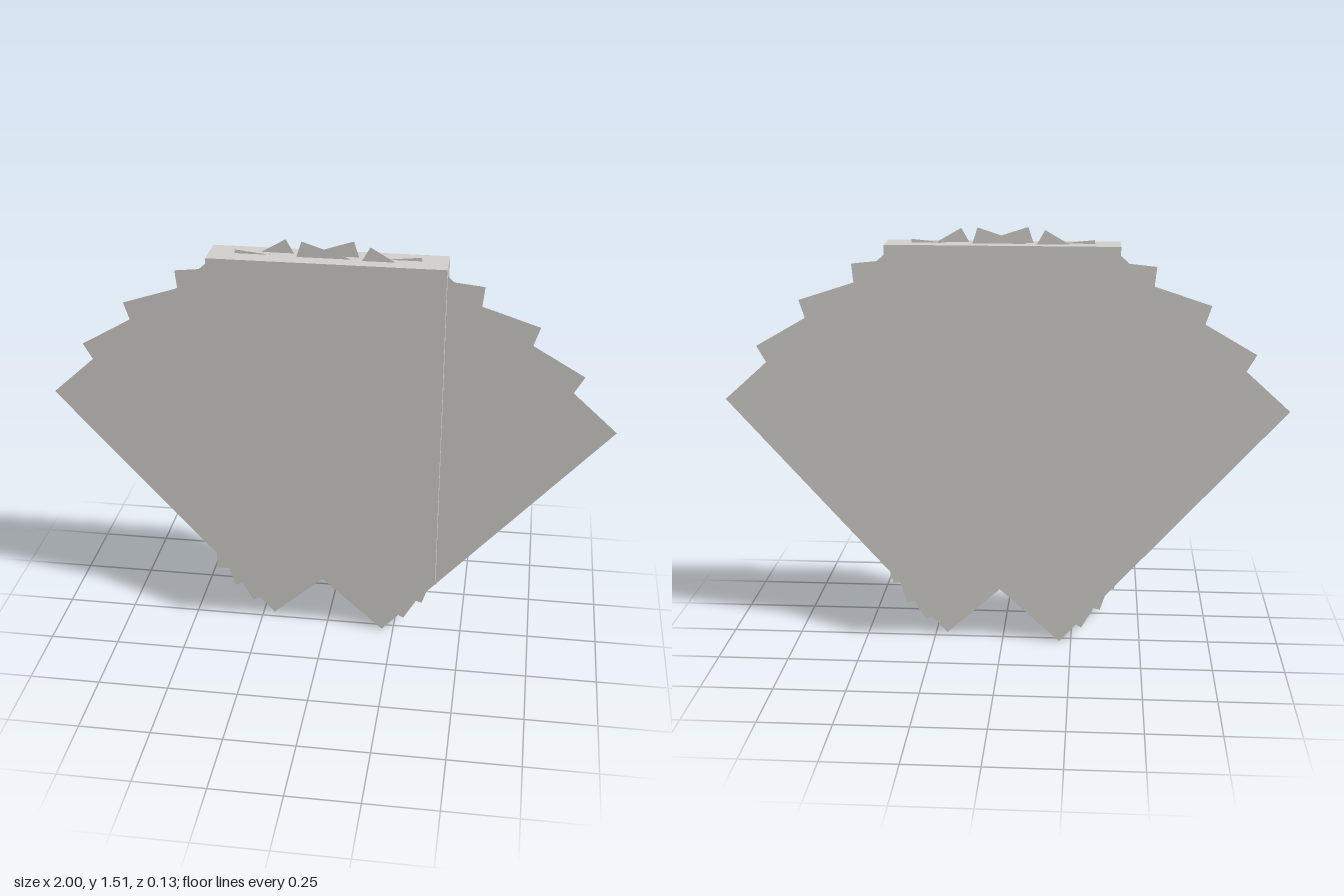
import * as THREE from 'three';

export function createModel() {
  const group = new THREE.Group();
  const unit = 0.1345;
  const paleGrey = new THREE.MeshStandardMaterial({ color: 0xd4d3cf, side: THREE.DoubleSide });
  paleGrey.name = 'pale grey';

  // Upright card box
  const box = new THREE.Mesh(new THREE.BoxGeometry(6 * unit, 9 * unit, unit), paleGrey);
  box.name = 'cardBox';
  box.position.y = 0.847;
  group.add(box);

  // Eight flat cards fanned around a low pivot, each one step further forward
  const fan = new THREE.Group();
  fan.name = 'cardFan';
  fan.position.y = 0.402;
  const cardShape = new THREE.PlaneGeometry(6.3 * unit, 8.8 * unit);
  cardShape.translate(0, 0.4325, 0);
  for (let i = 0; i < 8; i++) {
    const card = new THREE.Mesh(cardShape, paleGrey);
    card.name = `card${i + 1}`;
    card.rotation.z = THREE.MathUtils.degToRad(42 - 12 * i);
    card.position.z = (i - 3.5) * 0.0081;
    fan.add(card);
  }
  group.add(fan);

  return group;
}
